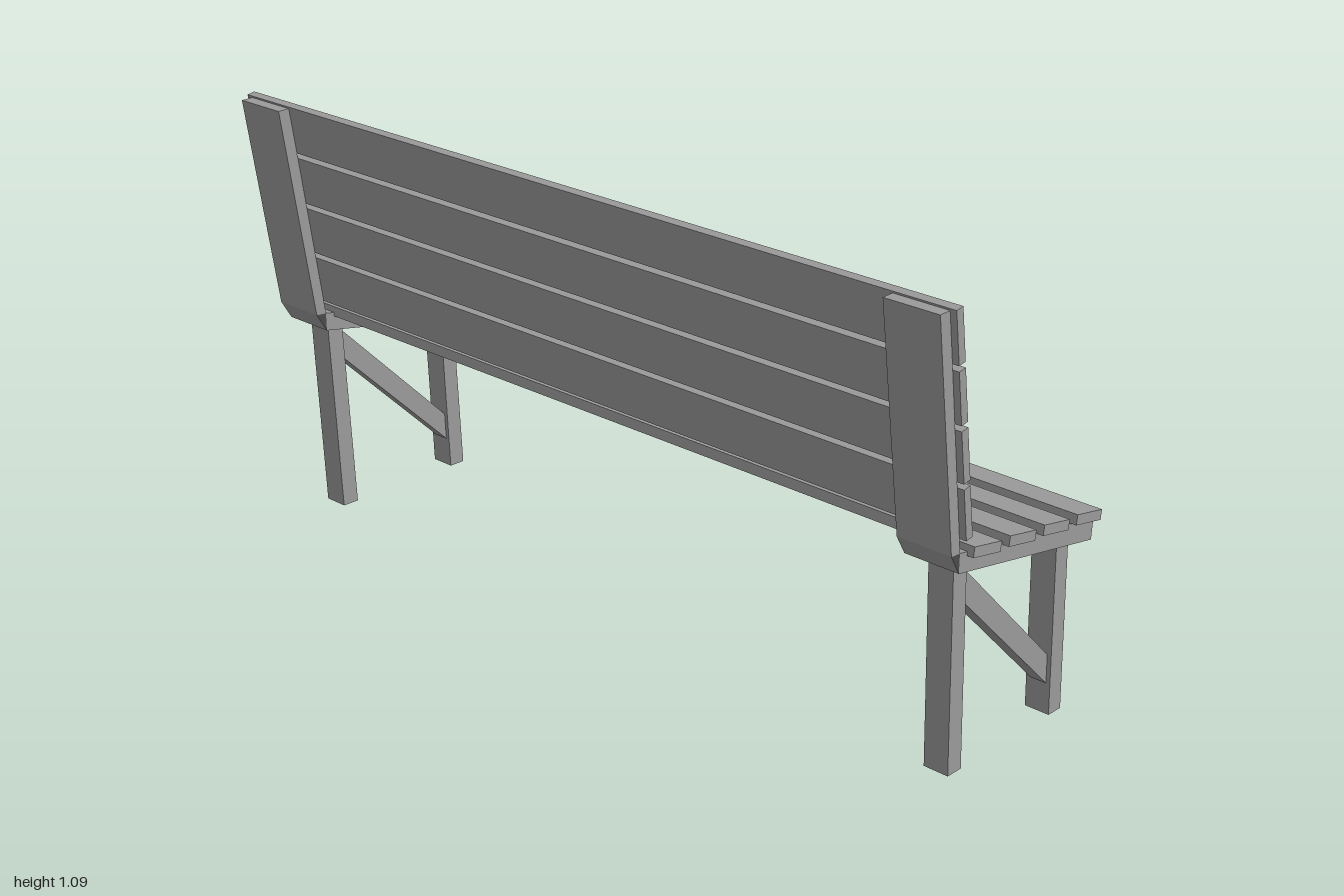
import * as THREE from 'three';

const wood = new THREE.MeshStandardMaterial({ color: 0x9a9a9a, flatShading: true });
const openWood = new THREE.MeshStandardMaterial({ color: 0x9a9a9a, flatShading: true, side: THREE.DoubleSide });
const endGrain = new THREE.MeshStandardMaterial({ color: 0x4a4a4a, flatShading: true });

// Side profile in x/y, extruded from z0 to z1, with a material for the two ends
function prism(name, points, z0, z1, endMaterial = wood) {
  const shape = new THREE.Shape(points.map(([x, y]) => new THREE.Vector2(x, y)));
  const geometry = new THREE.ExtrudeGeometry(shape, { depth: z1 - z0, bevelEnabled: false });
  geometry.translate(0, 0, z0);
  const mesh = new THREE.Mesh(geometry, [endMaterial, wood]);
  mesh.name = name;
  return mesh;
}

// Leg: a prism whose foot is left open
function leg(name, points, z0, z1) {
  const mesh = prism(name, points, z0, z1);
  const { position, normal } = mesh.geometry.attributes;
  const kept = [];
  for (let i = 0; i < position.count; i += 3) {
    if (normal.getY(i) < -0.9) continue;
    for (let k = i; k < i + 3; k++) kept.push(position.getX(k), position.getY(k), position.getZ(k));
  }
  mesh.geometry = new THREE.BufferGeometry();
  mesh.geometry.setAttribute('position', new THREE.Float32BufferAttribute(kept, 3));
  mesh.geometry.computeVertexNormals();
  mesh.material = openWood;
  return mesh;
}

const shift = (points, dx, dy) => points.map(([x, y]) => [x + dx, y + dy]);

export function createModel() {
  const bench = new THREE.Group();
  bench.name = 'bench';

  // Four slats each for the seat and the backrest
  const seatSlat = [[-0.164, 0.543], [-0.072, 0.522], [-0.069, 0.545], [-0.161, 0.566]];
  const backSlat = [[-0.247, 0.968], [-0.227, 0.971], [-0.244, 1.085], [-0.264, 1.082]];
  for (let i = 0; i < 4; i++) {
    bench.add(prism('seatSlat', shift(seatSlat, i * 0.1207, i * -0.0213), -1, 1));
    bench.add(prism('backSlat', shift(backSlat, i * 0.0187, i * -0.1263), -1, 1));
  }

  // Support frame at each end
  for (const side of [-1, 1]) {
    const span = (inner, outer) => (side > 0 ? [inner, outer] : [-outer, -inner]);
    const frame = new THREE.Group();
    frame.name = side > 0 ? 'frontEndFrame' : 'backEndFrame';
    frame.add(
      // back post, dark-ended corner wedge and seat rail
      prism('backPost', [[-0.216, 0.56], [-0.188, 0.557], [-0.263, 1.078], [-0.293, 1.078]], ...span(0.855, 0.985)),
      prism('cornerWedge', [[-0.216, 0.56], [-0.188, 0.513], [-0.188, 0.557]], ...span(0.855, 0.985), endGrain),
      prism('seatRail', [[-0.188, 0.513], [0.284, 0.41], [0.287, 0.459], [-0.188, 0.557]], ...span(0.855, 0.985)),
      // legs
      leg('rearLeg', [[-0.135, 0.019], [-0.09, 0.017], [-0.112, 0.51], [-0.156, 0.515]], ...span(0.89, 0.95)),
      leg('frontLeg', [[0.228, 0.002], [0.272, 0], [0.252, 0.43], [0.209, 0.435]], ...span(0.89, 0.95)),
      // diagonal brace
      prism('brace', [[-0.108, 0.408], [0.225, 0.077], [0.222, 0.147], [-0.111, 0.483]], ...span(0.9, 0.94))
    );
    bench.add(frame);
  }
  return bench;
}
